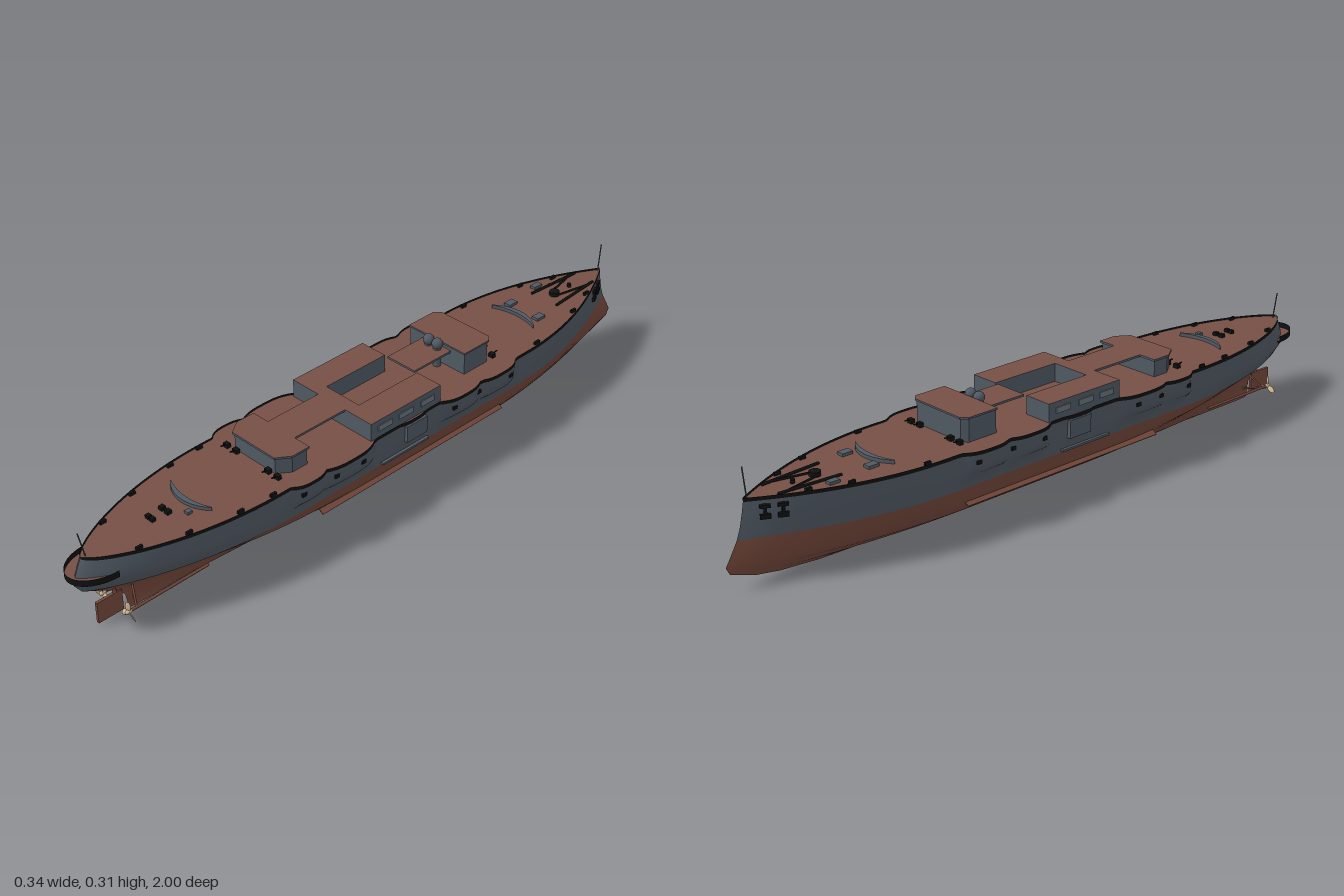
import * as THREE from 'three';

const mat = (name, color, side = THREE.FrontSide) => {
  const m = new THREE.MeshStandardMaterial({ color, side });
  m.name = name;
  return m;
};

export function createModel() {
  const ship = new THREE.Group();
  ship.name = 'ship';
  const grey = mat('hull grey', 0x505963);
  const red = mat('bottom red', 0x75493c);
  const planks = mat('deck brown', 0x754f45);
  const black = mat('fitting black', 0x101112, THREE.DoubleSide);
  const bronze = mat('propeller bronze', 0xd0b593);
  const pale = mat('panel grey', 0x68737d);
  const DECK = 0.222;

  // ---------- helpers ----------
  const add = (name, geo, material, x = 0, y = 0, z = 0) => {
    const m = new THREE.Mesh(geo, material);
    m.name = name;
    m.position.set(x, y, z);
    ship.add(m);
    return m;
  };
  const box = (name, material, w, h, d, x, y, z) =>
    add(name, new THREE.BoxGeometry(w, h, d), material, x, y, z);
  const rod = (name, material, r, a, b) => {
    const A = new THREE.Vector3(...a), B = new THREE.Vector3(...b), d = B.clone().sub(A);
    const m = add(name, new THREE.CylinderGeometry(r, r, d.length(), 8), material);
    m.position.copy(A).add(B).multiplyScalar(0.5);
    m.quaternion.setFromUnitVectors(new THREE.Vector3(0, 1, 0), d.normalize());
    return m;
  };
  // vertical prism from an [x, z] outline, caps and sides coloured separately
  const prism = (name, pts, y0, y1, cap, side) => {
    const s = new THREE.Shape(pts.map(([x, z]) => new THREE.Vector2(x, -z)));
    const g = new THREE.ExtrudeGeometry(s, { depth: y1 - y0, bevelEnabled: false });
    g.rotateX(-Math.PI / 2);
    return add(name, g, [cap, side], 0, y0, 0);
  };
  // skin through rows of points
  const skin = (name, rows, material) => {
    const n = rows[0].length, idx = [];
    for (let r = 0; r < rows.length - 1; r++)
      for (let i = 0; i < n - 1; i++) {
        const a = r * n + i, d = a + n;
        idx.push(a, a + 1, d + 1, a, d + 1, d);
      }
    const g = new THREE.BufferGeometry();
    g.setAttribute('position', new THREE.Float32BufferAttribute(rows.flat(2), 3));
    g.setIndex(idx);
    g.computeVertexNormals();
    return add(name, g, material);
  };
  const mirror = (rows) => rows.map(r => r.map(([x, y, z]) => [-x, y, z])).reverse();

  // ---------- hull ----------
  // waterlines: y, stern z, bow z, half breadth, stern taper length and power, bow taper length and power, bulge share
  const levels = [
    [0.000, 0.84, -0.75, 0.006, 0.1, 0.5, 0.2, 0.6, 0],
    [0.008, 0.84, -0.85, 0.030, 0.6, 1.5, 0.5, 1.2, 0],
    [0.020, 0.84, -0.92, 0.060, 0.75, 1.7, 0.6, 1.2, 0],
    [0.045, 0.845, -0.99, 0.100, 0.8, 1.6, 0.65, 1.2, 0],
    [0.065, 0.86, -1.00, 0.116, 0.75, 1.4, 0.65, 1.2, 0],
    [0.090, 0.90, -0.985, 0.130, 0.65, 1.1, 0.6, 1.15, 0],
    [0.125, 0.965, -0.965, 0.140, 0.55, 0.85, 0.55, 1.1, 0],
    [0.152, 0.985, -0.955, 0.144, 0.52, 0.78, 0.53, 1.05, 0],
    [0.168, 0.983, -0.951, 0.145, 0.51, 0.76, 0.52, 1.03, 0.8],
    [0.190, 0.975, -0.946, 0.146, 0.5, 0.75, 0.51, 1, 1],
    [DECK, 0.96, -0.94, 0.147, 0.5, 0.75, 0.5, 1, 1],
  ];
  // gun sponsons: centre z, half length, depth
  const humps = [[-0.32, 0.08, 0.023], [-0.18, 0.08, 0.023], [0, 0.05, 0.007], [0.235, 0.095, 0.023], [0.37, 0.06, 0.02]];
  const bulge = (z) => Math.max(0, ...humps.map(([c, w, d]) => d * (1 - Math.abs((z - c) / w) ** 3)));
  const taper = (s, q) => (1 - (1 - Math.min(1, Math.max(0, s))) ** 2) ** q;
  const breadth = ([, zs, zb, B, ls, qs, lb, qb, k], z) =>
    B * taper((zs - z) / ls, qs) * taper((z - zb) / lb, qb) + k * bulge(z);
  const COLS = 180;
  const rows = levels.map(L => Array.from({ length: COLS + 1 }, (_, i) => {
    const t = i / COLS, u = 0.5 * t + 0.25 * (1 - Math.cos(Math.PI * t));
    const z = L[1] + (L[2] - L[1]) * u;
    return [breadth(L, z), L[0], z];
  }));
  const lower = rows.slice(0, 7), upper = rows.slice(6), edge = rows[rows.length - 1];
  for (const [side, f] of [['left', r => r], ['right', mirror]]) {
    skin(side + 'Bottom', f(lower), red);
    skin(side + 'Topside', f(upper), grey);
    skin(side + 'DeckEdge', f([0.217, 0.227].map(y => edge.map(([x, , z]) => [x + 0.0015, y, z]))), black);
  }
  skin('mainDeck', [edge, ...mirror([edge])], planks);
  skin('keel', [...mirror([rows[0]]), rows[0]], red);
  const deckX = (z) => breadth(levels[10], z);

  // ---------- superstructure ----------
  prism('midHouse', [[-0.145, 0.15], [0.145, 0.15], [0.145, -0.105], [0.06, -0.105], [0.06, 0.11],
    [-0.06, 0.11], [-0.06, -0.105], [-0.145, -0.105]], DECK, 0.274, planks, grey);
  prism('aftHouse', [[-0.1, 0.33], [0.1, 0.33], [0.1, 0.38], [0.075, 0.415], [-0.075, 0.415], [-0.1, 0.38]],
    DECK, 0.268, planks, grey);
  prism('aftHouseRoof', [[-0.104, 0.325], [0.104, 0.325], [0.104, 0.382], [0.078, 0.42], [-0.078, 0.42], [-0.104, 0.382]],
    0.268, 0.274, planks, grey);
  prism('foreHouse', [[-0.1, -0.245], [0.1, -0.245], [0.1, -0.335], [0.085, -0.35], [-0.085, -0.35], [-0.1, -0.335]],
    DECK, 0.285, planks, grey);
  prism('foreHouseRoof', [[-0.103, -0.242], [0.103, -0.242], [0.103, -0.338], [0.087, -0.354], [-0.087, -0.354], [-0.103, -0.338]],
    0.285, 0.29, planks, grey);
  for (const [z0, z1] of [[0.15, 0.33], [-0.245, -0.105]])
    prism('flyingBridge', [[-0.05, z0], [-0.05, z1], [0.05, z1], [0.05, z0]], 0.268, 0.274, planks, grey);

  // curved breakwaters
  for (const [s, zc] of [[-1, -0.47], [1, 0.54]]) {
    const arc = [];
    for (let i = 0; i <= 12; i++) arc.push([0.75 * (i / 6 - 1), 0.115]);
    for (let i = 12; i >= 0; i--) arc.push([0.75 * (i / 6 - 1), 0.1 + 0.013 * Math.abs(i / 6 - 1) ** 2]);
    prism('breakwater', arc.map(([a, r]) => [r * Math.sin(a), zc + s * r * Math.cos(a)]), DECK, 0.232, grey, grey);
  }

  for (const s of [-1, 1]) {
    // ventilator cowls
    add('ventTrunk', new THREE.CylinderGeometry(0.011, 0.011, 0.07, 16), grey, s * 0.016, 0.257, -0.228);
    add('ventCowl', new THREE.SphereGeometry(0.0155, 18, 12), grey, s * 0.016, 0.29, -0.228);

    // house side panels
    for (const z of [0.1, 0.025, -0.055]) box('sidePanel', pale, 0.004, 0.016, 0.05, s * 0.146, 0.25, z);

    // midship side box, shelf and bilge keel
    box('sideBox', grey, 0.02, 0.05, 0.075, s * 0.149, 0.19, -0.005);
    box('sideShelf', grey, 0.012, 0.006, 0.17, s * 0.144, 0.132, 0.025);
    const bilge = box('bilgeKeel', red, 0.018, 0.003, 0.68, s * 0.125, 0.073, -0.03);
    bilge.rotation.z = -s * 0.6;

    // gun ports and deck guns beside the houses
    for (const z of [0.4, 0.29, 0.2, -0.14, -0.24, -0.36])
      box('gunPort', black, 0.006, 0.01, 0.014, s * (deckX(z) - 0.0005), 0.197, z);
    for (const z of [-0.362, 0.425])
      for (const x of [0.06, 0.095]) {
        box('deckGun', black, 0.016, 0.012, 0.012, s * x, 0.229, z);
        rod('gunBarrel', black, 0.002, [s * x, 0.232, z], [s * x, 0.234, z + Math.sign(z) * 0.02]);
      }

    // mooring bollards along the deck edge
    for (const z of [-0.8, -0.7, -0.5, 0.48, 0.58, 0.72, 0.84])
      box('bollard', black, 0.007, 0.009, 0.018, s * (deckX(z) - 0.008), 0.2265, z);

    // anchor chains, hatches and anchors
    rod('anchorChain', black, 0.004, [s * 0.046, 0.226, -0.69], [s * 0.034, 0.226, -0.865]);
    rod('chainBranch', black, 0.003, [s * 0.012, 0.226, -0.735], [s * 0.035, 0.226, -0.84]);
    box('foreHatch', grey, 0.022, 0.008, 0.032, s * 0.052, 0.226, -0.605);
    box('aftHatch', black, 0.014, 0.01, 0.014, s * 0.011, 0.227, 0.705);
    box('aftHatch', black, 0.012, 0.01, 0.012, s * 0.008, 0.227, 0.75);
    for (const z of [-0.862, -0.9]) {
      const x = breadth(levels[9], z) + 0.003;
      for (const [w, h, y] of [[0.026, 0.012, 0.177], [0.008, 0.036, 0.19], [0.026, 0.008, 0.203]]) {
        const a = box('anchor', black, 0.009, h, w, s * x, y, z);
        a.rotation.y = s * 0.47;
      }
    }

    // propeller, shaft and struts
    rod('propellerShaft', red, 0.004, [s * 0.05, 0.038, 0.88], [s * 0.045, 0.034, 0.62]);
    rod('shaftStrut', red, 0.003, [s * 0.05, 0.038, 0.85], [s * 0.012, 0.075, 0.83]);
    rod('shaftStrut', red, 0.003, [s * 0.05, 0.038, 0.85], [0, 0.03, 0.82]);
    const prop = new THREE.Group();
    prop.name = 'propeller';
    prop.position.set(s * 0.05, 0.038, 0.875);
    const hub = new THREE.Mesh(new THREE.SphereGeometry(0.006, 12, 8), bronze);
    hub.name = 'propellerHub';
    hub.scale.z = 1.8;
    prop.add(hub);
    for (let i = 0; i < 3; i++) {
      const g = new THREE.SphereGeometry(1, 12, 8).scale(0.008, 0.0145, 0.002).rotateY(s * 0.5);
      const blade = new THREE.Mesh(g.translate(0, 0.016, 0).rotateZ(i * Math.PI * 2 / 3), bronze);
      blade.name = 'propellerBlade';
      prop.add(blade);
    }
    ship.add(prop);
  }

  // ---------- foredeck ----------
  add('capstan', new THREE.CylinderGeometry(0.015, 0.015, 0.012, 16), black, 0, 0.228, -0.735);
  add('smallCapstan', new THREE.CylinderGeometry(0.006, 0.006, 0.01, 12), black, 0, 0.227, -0.8);
  box('foreSkylight', grey, 0.018, 0.008, 0.03, -0.065, 0.226, -0.73);
  box('aftSkylight', grey, 0.014, 0.008, 0.014, 0.045, 0.226, 0.67);

  // ---------- stern ----------
  const walk = [];
  for (let i = 0; i <= 24; i++) {
    const a = Math.PI * i / 24;
    walk.push([0.067 * Math.cos(a), 0.9 + 0.1 * Math.sin(a)]);
  }
  prism('sternWalkFloor', walk, 0.172, 0.175, planks, black);
  skin('sternWalkRail', [0.174, 0.191].map(y => walk.map(([x, z]) => [x, y, z])), black);
  for (let i = 3; i <= 21; i += 3) {
    const [x, z] = walk[i];
    rod('walkBracket', black, 0.0015, [x * 0.95, 0.173, z - 0.003], [x * 0.7, 0.155, z - 0.03]);
  }
  box('rudder', red, 0.008, 0.062, 0.076, 0, 0.038, 0.893);
  rod('rudderStock', red, 0.005, [0, 0.06, 0.875], [0, 0.105, 0.875]);

  // flagstaffs
  rod('bowStaff', grey, 0.0018, [0, DECK, -0.93], [0, 0.305, -0.938]);
  rod('sternStaff', grey, 0.0018, [0, DECK, 0.945], [0, 0.295, 0.96]);
  return ship;
}
